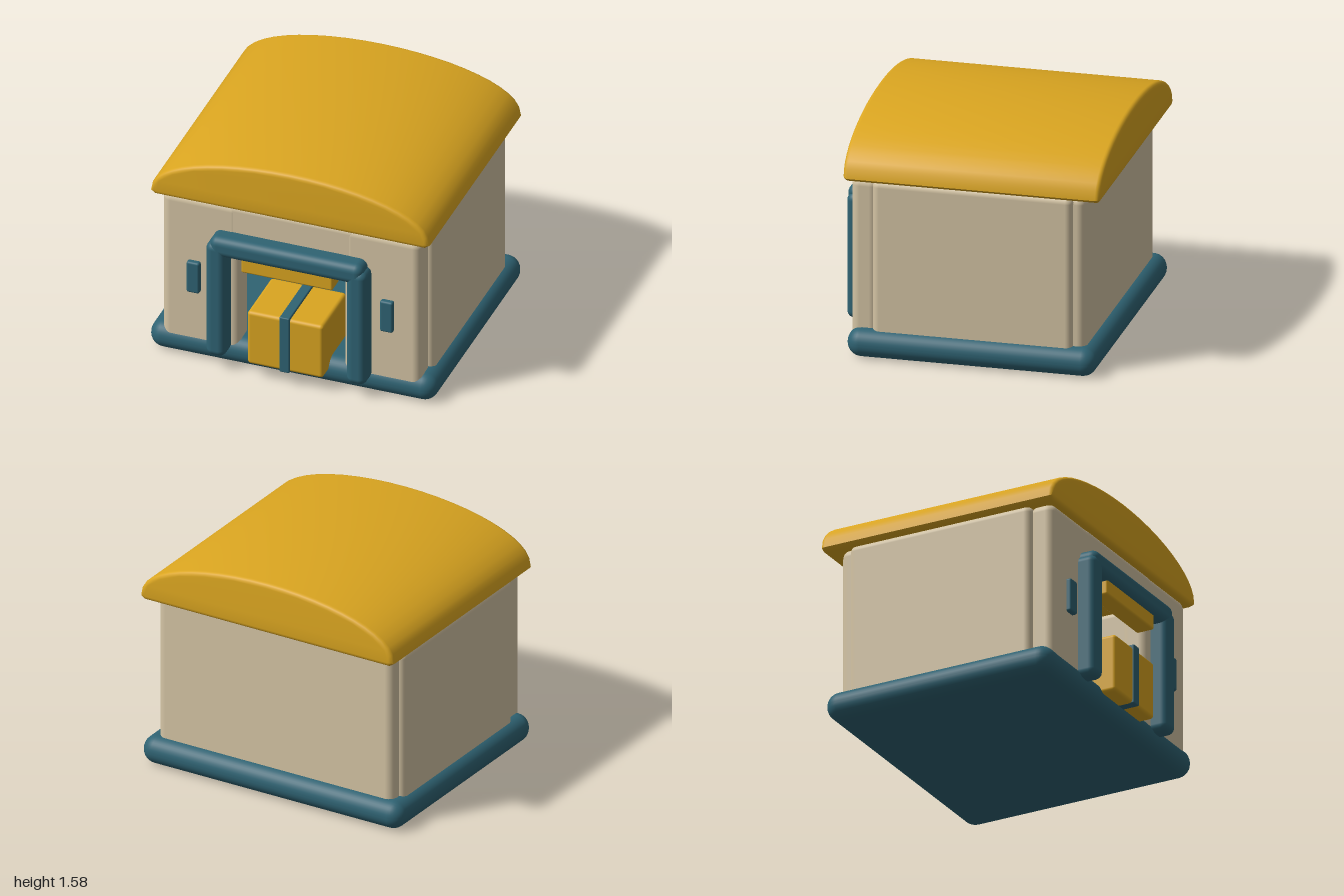
import * as THREE from 'three';
import { mergeVertices, toCreasedNormals } from 'three/addons/utils/BufferGeometryUtils.js';
import { RoundedBoxGeometry } from 'three/addons/geometries/RoundedBoxGeometry.js';

const material = (name, color) => {
  const m = new THREE.MeshStandardMaterial({ color });
  m.name = name;
  return m;
};

export function createModel() {
  const model = new THREE.Group();
  model.name = 'storageHut';
  const teal = material('teal', 0x2f6373);
  const gold = material('gold', 0xdaa520);
  const beige = material('beige', 0xd4c4a4);

  // Soft-edged box given by its extents on each axis
  const block = (name, mat, [x0, x1], [y0, y1], [z0, z1], radius) => {
    const geo = new RoundedBoxGeometry(x1 - x0, y1 - y0, z1 - z0, 4, radius);
    const mesh = new THREE.Mesh(geo, mat);
    mesh.name = name;
    mesh.position.set((x0 + x1) / 2, (y0 + y1) / 2, (z0 + z1) / 2);
    model.add(mesh);
  };
  // The same box on both sides
  const pair = (name, mat, [x0, x1], y, z, radius) => {
    block(name + 'Left', mat, [x0, x1], y, z, radius);
    block(name + 'Right', mat, [-x1, -x0], y, z, radius);
  };

  // Base slab
  block('base', teal, [-1, 1], [0, 0.195], [-0.88, 0.8], 0.095);

  // Walls around a hollow room
  const wallY = [0.08, 1.235];
  pair('sideWall', beige, [0.78, 0.94], wallY, [-0.72, 0.635], 0.05);
  pair('frontWall', beige, [0.36, 0.905], wallY, [0.6, 0.785], 0.06);
  block('backWall', beige, [-0.905, 0.905], wallY, [-0.8, -0.63], 0.06);
  block('lintel', beige, [-0.46, 0.46], [0.9, 1.235], [0.6, 0.783], 0.05);
  block('backPanel', teal, [-0.45, 0.45], [0.15, 1.05], [-0.66, -0.6], 0.01);

  // Doorway frame and header
  pair('doorPost', teal, [0.42, 0.56], [0.11, 0.98], [0.7, 0.905], 0.05);
  block('doorBeam', teal, [-0.535, 0.535], [0.88, 1.028], [0.7, 0.905], 0.055);
  block('doorHeader', gold, [-0.32, 0.32], [0.785, 0.9], [0.74, 0.87], 0.015);

  // Wall lamps
  pair('wallLamp', teal, [0.63, 0.72], [0.515, 0.75], [0.76, 0.82], 0.015);

  // Crate with strap
  block('crate', gold, [-0.265, 0.265], [0.11, 0.515], [0.45, 0.9], 0.025);
  block('crateStrap', teal, [-0.035, 0.035], [0.108, 0.53], [0.44, 0.913], 0.008);

  // Barrel roof: half ellipse with a soft bevelled rim
  const bevel = 0.03;
  const outline = new THREE.Shape();
  const steps = 24;
  outline.moveTo(-0.93, 1.25);
  outline.lineTo(0.93, 1.25);
  for (let i = 0; i <= steps; i++) {
    const a = (i / steps) * Math.PI;
    outline.lineTo(0.94 * Math.cos(a), 1.257 + 0.293 * Math.sin(a));
  }
  let roofGeo = new THREE.ExtrudeGeometry(outline, {
    depth: 1.73 - 2 * bevel, bevelEnabled: true, bevelSize: bevel,
    bevelThickness: bevel, bevelSegments: 4, steps: 1,
  });
  roofGeo.deleteAttribute('normal');
  roofGeo.deleteAttribute('uv');
  roofGeo = toCreasedNormals(mergeVertices(roofGeo, 1e-4), 0.7);
  const roof = new THREE.Mesh(roofGeo, gold);
  roof.name = 'roof';
  roof.position.z = -0.91 + bevel;
  model.add(roof);

  return model;
}
